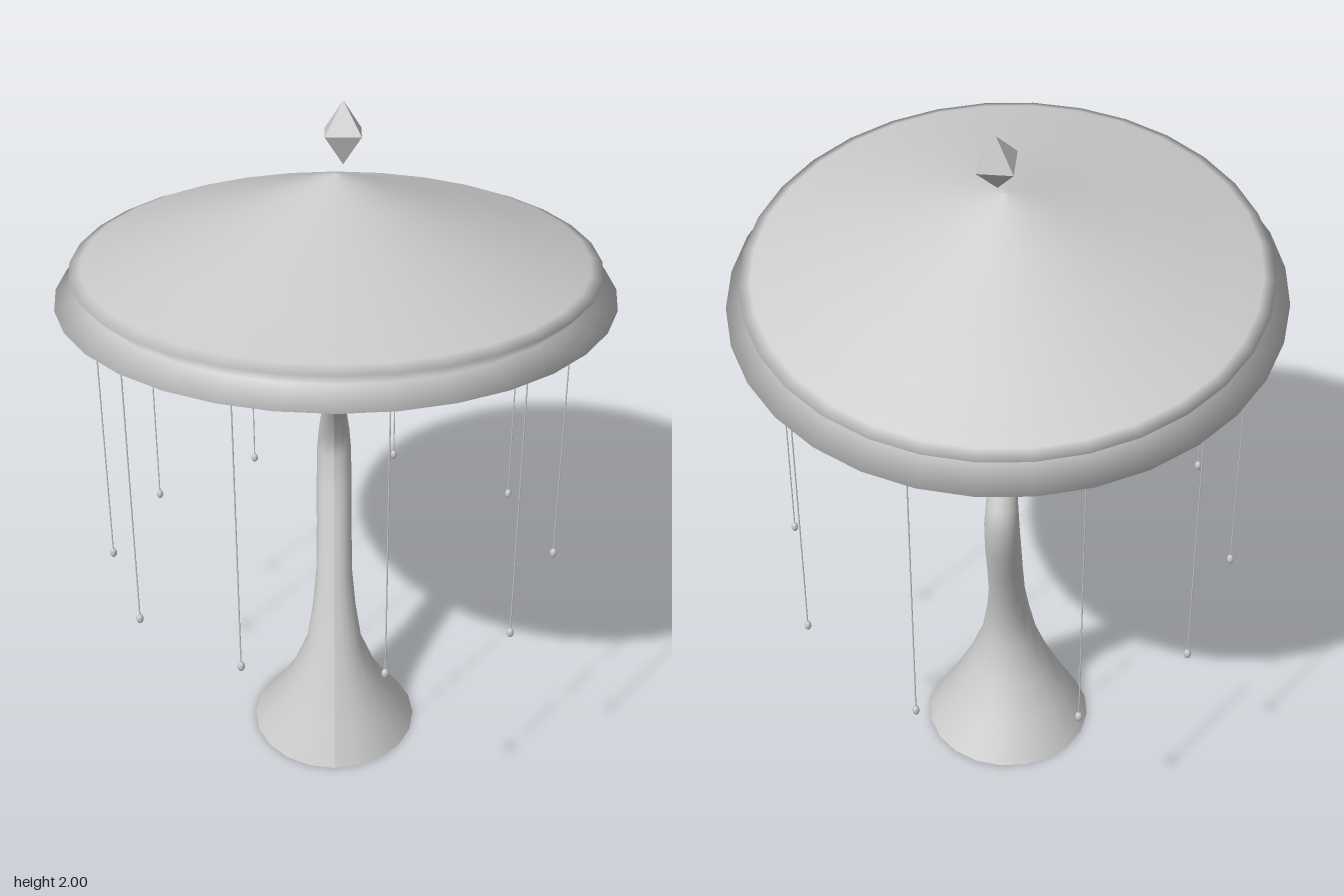
import * as THREE from 'three';

const grey = new THREE.MeshStandardMaterial({ color: 0xcccccc });
const greyOpen = new THREE.MeshStandardMaterial({ color: 0xcccccc, side: THREE.DoubleSide });
const greyFlat = new THREE.MeshStandardMaterial({ color: 0xcccccc, flatShading: true });

const TILT = 0.155; // backward lean of the cap
const CAP_Y = 1.51; // height of the rim centre

function addMesh(parent, name, geometry, material) {
  const mesh = new THREE.Mesh(geometry, material);
  mesh.name = name;
  parent.add(mesh);
  return mesh;
}

// Hollow bent stem: one ring per row of [y, z centre, radius]
function stemGeometry() {
  const rings = [
    [0, -0.015, 0.237], [0.1, -0.003, 0.175], [0.2, 0.004, 0.122], [0.31, 0, 0.08],
    [0.42, -0.028, 0.062], [0.52, -0.06, 0.052], [0.65, -0.11, 0.05], [0.77, -0.158, 0.05],
    [0.87, -0.187, 0.048], [0.94, -0.178, 0.043], [1.05, -0.115, 0.034], [1.16, -0.047, 0.027],
    [1.28, 0.01, 0.021], [1.39, 0.034, 0.019],
  ];
  const last = rings.length - 1;
  const sides = 20;
  const geometry = new THREE.CylinderGeometry(1, 1, 1, sides, last, true);
  const p = geometry.attributes.position;
  for (let i = 0; i < p.count; i++) {
    const k = last - Math.floor(i / (sides + 1)); // rows run from the top down
    const [y, z, r] = rings[k];
    const a = rings[Math.max(k - 1, 0)], b = rings[Math.min(k + 1, last)];
    const slope = k === 0 ? 0 : (b[1] - a[1]) / (b[0] - a[0]);
    // widen along z where the stem leans so its thickness stays even
    p.setXYZ(i, p.getX(i) * r - 0.005, y, z + p.getZ(i) * r * Math.hypot(1, slope));
  }
  geometry.computeVertexNormals();
  return geometry;
}

// Cap section from the underside boss, round the double lip, up to the peak
function capGeometry() {
  const profile = [
    [0, -0.15], [0.12, -0.147], [0.19, -0.09], [0.3, -0.03], [0.4, 0.005], [0.48, 0.02],
    [0.55, 0.005], [0.63, -0.021], [0.722, 0], [0.645, 0.036], [0.682, 0.075], [0.65, 0.089],
    [0.6, 0.104], [0.5, 0.139], [0.374, 0.184], [0.27, 0.218], [0.12, 0.274], [0.04, 0.304], [0, 0.315],
  ];
  return new THREE.LatheGeometry(profile.map(([r, y]) => new THREE.Vector2(r, y)), 32);
}

export function createModel() {
  const model = new THREE.Group();
  model.name = 'mushroomLamp';

  addMesh(model, 'stem', stemGeometry(), greyOpen);

  const cap = addMesh(model, 'cap', capGeometry(), grey);
  cap.position.y = CAP_Y;
  cap.rotation.x = -TILT;

  // Floating crystal above the peak
  const crystalGeometry = new THREE.OctahedronGeometry(1);
  crystalGeometry.rotateY(Math.PI / 4).scale(0.065, 0.082, 0.065);
  const crystal = addMesh(model, 'crystal', crystalGeometry, greyFlat);
  crystal.position.set(0.018, 1.92, -0.075);
  crystal.rotation.x = -0.2;

  // Hanging threads with a bead at the end, [x, z] round the rim
  const spots = [
    [0.615, 0.01], [0.515, -0.335], [0.18, -0.585], [-0.25, -0.565], [-0.525, -0.335],
    [-0.63, 0.005], [-0.525, 0.35], [-0.245, 0.577], [0.125, 0.61], [0.46, 0.42],
  ];
  const length = 0.86;
  const threadGeometry = new THREE.CylinderGeometry(0.002, 0.002, length, 5);
  const beadGeometry = new THREE.SphereGeometry(0.01, 8, 6).scale(1, 1.5, 1);
  spots.forEach(([x, z]) => {
    const strand = new THREE.Group();
    strand.name = 'hangingStrand';
    strand.position.set(x, CAP_Y - 0.01 + z * Math.tan(TILT), z);
    addMesh(strand, 'thread', threadGeometry, grey).position.y = -length / 2;
    addMesh(strand, 'bead', beadGeometry, grey).position.y = -length;
    model.add(strand);
  });

  return model;
}
